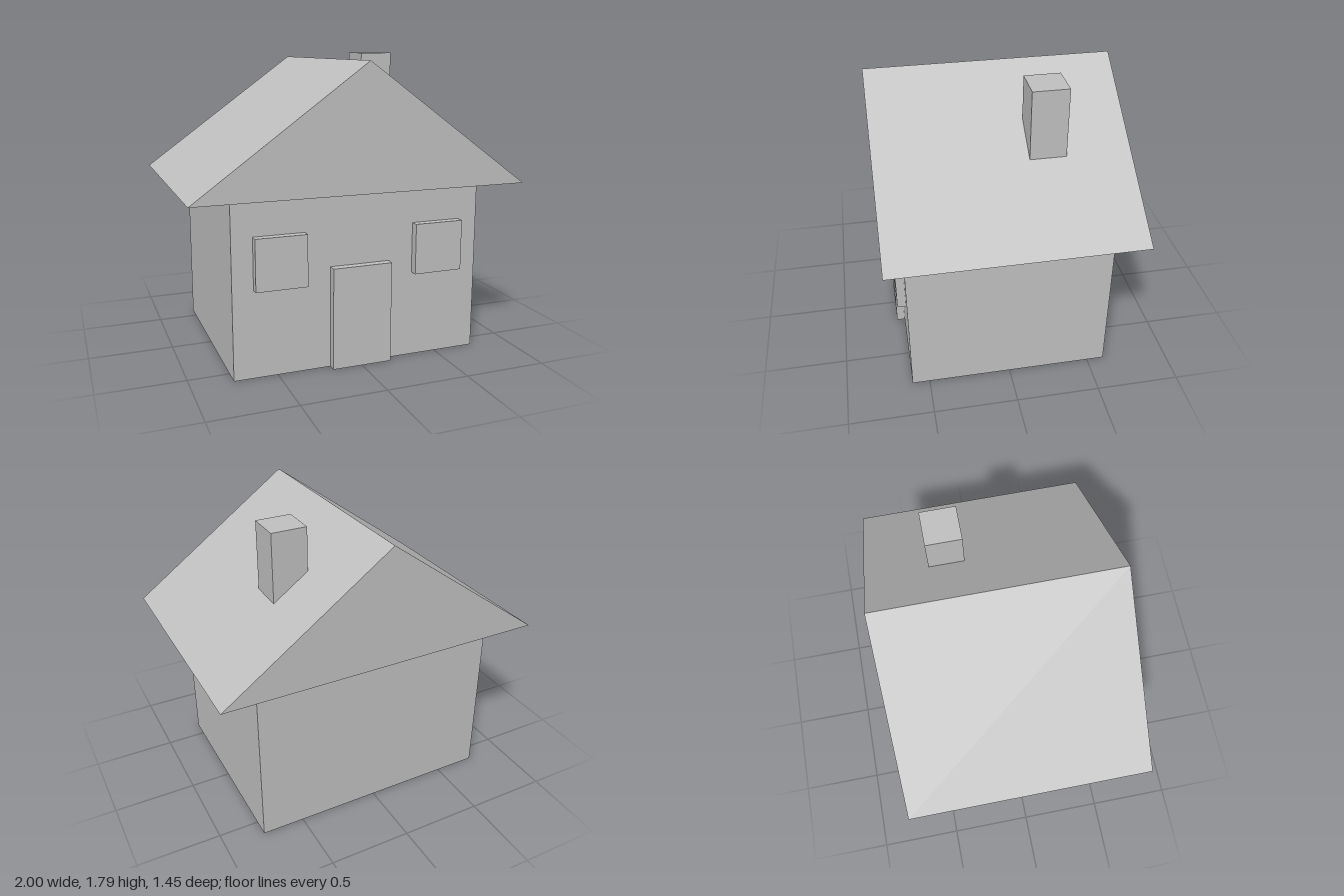
import * as THREE from 'three';

export function createModel() {
  const house = new THREE.Group();
  house.name = 'house';
  const plaster = new THREE.MeshStandardMaterial({ color: 0xc0c0c0 });
  plaster.name = 'light grey';

  const add = (name, geometry, x, y, z) => {
    const mesh = new THREE.Mesh(geometry, plaster);
    mesh.name = name;
    mesh.position.set(x, y, z);
    house.add(mesh);
  };
  // Box given by its size, with x and z at its centre and y at its base
  const box = (name, w, h, d, x, y, z) =>
    add(name, new THREE.BoxGeometry(w, h, d), x, y + h / 2, z);

  const wallHeight = 1.035;
  const wallFront = 0.605;

  // Walls
  box('walls', 1.514, wallHeight, wallFront * 2, 0, 0, 0);

  // Solid gable roof, overhanging on all sides
  const gable = new THREE.Shape([
    new THREE.Vector2(-1, 0),
    new THREE.Vector2(1, 0),
    new THREE.Vector2(0, 0.725),
  ]);
  const roofDepth = 1.45;
  add('roof', new THREE.ExtrudeGeometry(gable, { depth: roofDepth, bevelEnabled: false }),
    0, wallHeight, -roofDepth / 2);

  // Chimney, sunk into the left roof slope
  box('chimney', 0.21, 0.57, 0.21, 0.422, 1.22, -0.245);

  // Door and windows stand proud of the front wall
  box('door', 0.362, 0.605, 0.1, 0, 0, wallFront);
  for (const [side, name] of [[1, 'leftWindow'], [-1, 'rightWindow']]) {
    box(name, 0.302, 0.302, 0.1, side * 0.484, 0.518, wallFront);
  }

  return house;
}
